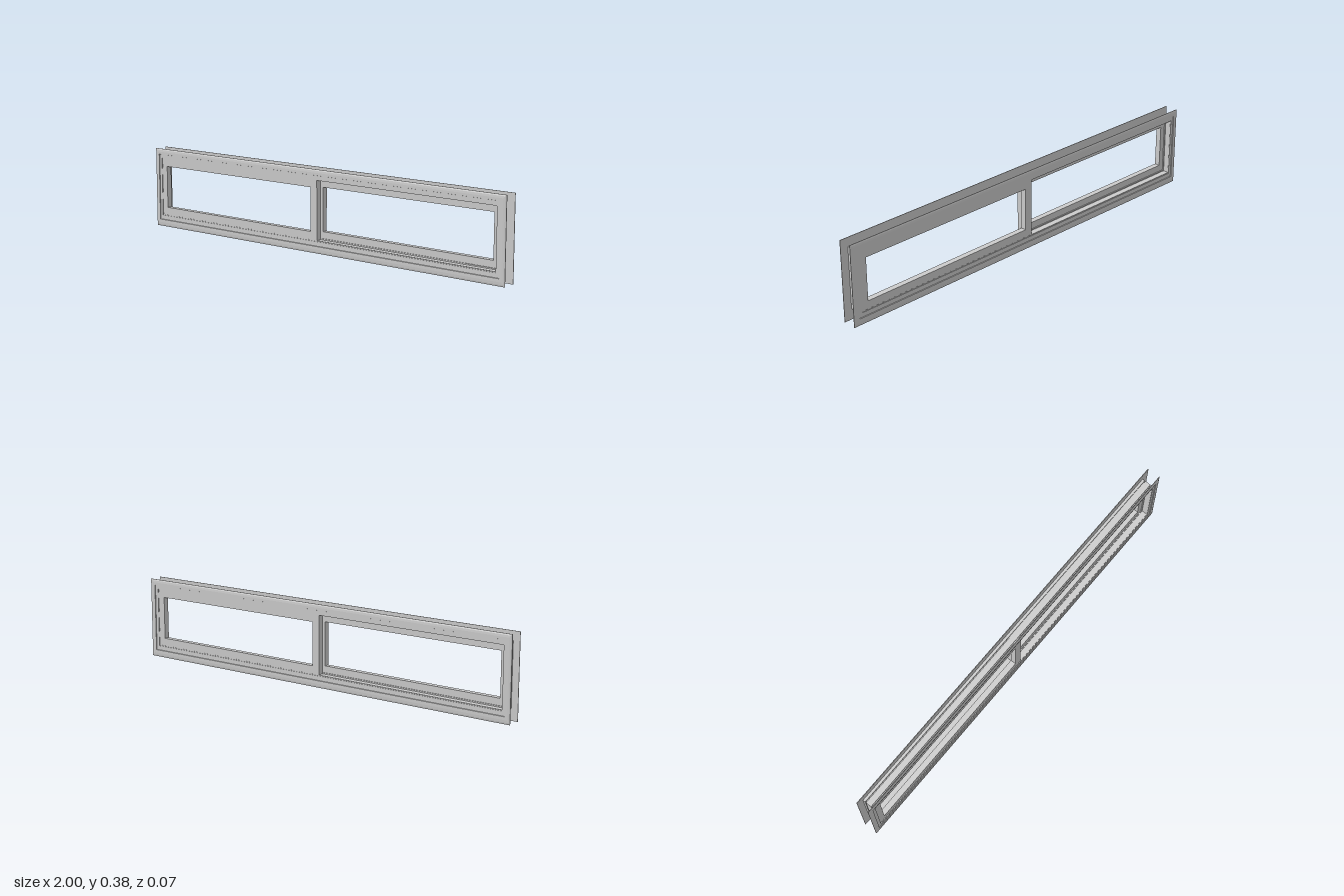
import * as THREE from 'three';

const material = new THREE.MeshStandardMaterial({ color: 0xcccccc, flatShading: true });

// Sweeps a closed profile round a mitred rectangle.
// Rectangles are [left, bottom, right, top]; profile points are [t, z],
// where t runs from 0 at the outer rectangle to 1 at the inner one.
function sweepFrame(name, outer, inner, profile) {
  const corners = [[0, 1], [2, 1], [2, 3], [0, 3]];
  const lerp = (i, t) => outer[i] + (inner[i] - outer[i]) * t;
  const positions = [];
  const index = [];
  const n = profile.length;
  for (const [ix, iy] of corners) {
    for (const [t, z] of profile) positions.push(lerp(ix, t), lerp(iy, t), z);
  }
  for (let k = 0; k < 4; k++) {
    for (let i = 0; i < n; i++) {
      const j = (i + 1) % n;
      const next = ((k + 1) % 4) * n;
      const a = k * n + i, b = k * n + j, c = next + j, d = next + i;
      index.push(a, b, c, a, c, d);
    }
  }
  const geometry = new THREE.BufferGeometry();
  geometry.setAttribute('position', new THREE.Float32BufferAttribute(positions, 3));
  geometry.setIndex(index);
  const flat = geometry.toNonIndexed();
  flat.computeVertexNormals();
  const mesh = new THREE.Mesh(flat, material);
  mesh.name = name;
  return mesh;
}

export function createModel() {
  const model = new THREE.Group();
  model.name = 'slidingWindow';

  // Front and back trim: rounded outer edge, raised band, lower inner band
  const trimOuter = [-1, 0, 1, 0.38];
  const trimInner = [-0.961, 0.054, 0.955, 0.335];
  const trimProfile = [
    [0, 0.030], [1, 0.030], [1, 0.0325], [0.62, 0.0325], [0.60, 0.0357],
    [0.34, 0.0357], [0.14, 0.0348], [0, 0.0325],
  ];
  model.add(sweepFrame('frontTrim', trimOuter, trimInner, trimProfile));
  const backProfile = trimProfile.map(([t, z]) => [t, -z]).reverse();
  model.add(sweepFrame('backTrim', trimOuter, trimInner, backProfile));

  // Jamb: two grooves outside, a central track rib inside
  model.add(sweepFrame('jamb', [-0.968, 0.05, 0.962, 0.338], [-0.96, 0.058, 0.954, 0.33], [
    [0, -0.030], [1, -0.030], [1, -0.002], [1.7, -0.002], [1.7, 0.002], [1, 0.002],
    [1, 0.030], [0, 0.030], [0, 0.019], [0.85, 0.019], [0.85, 0.0145], [0, 0.0145],
    [0, -0.0135], [0.85, -0.0135], [0.85, -0.018], [0, -0.018],
  ]));

  // Sashes: one slides in the front track, the other in the back track
  const sashProfile = (z0, z1) => [[0, z0], [1, z0], [1, z1], [0, z1]];
  model.add(sweepFrame('frontSash', [-0.962, 0.056, 0.01, 0.332],
    [-0.93, 0.095, -0.027, 0.296], sashProfile(0.003, 0.0295)));
  model.add(sweepFrame('backSash', [-0.018, 0.056, 0.956, 0.332],
    [0.019, 0.095, 0.92, 0.296], sashProfile(-0.0295, -0.003)));

  return model;
}
